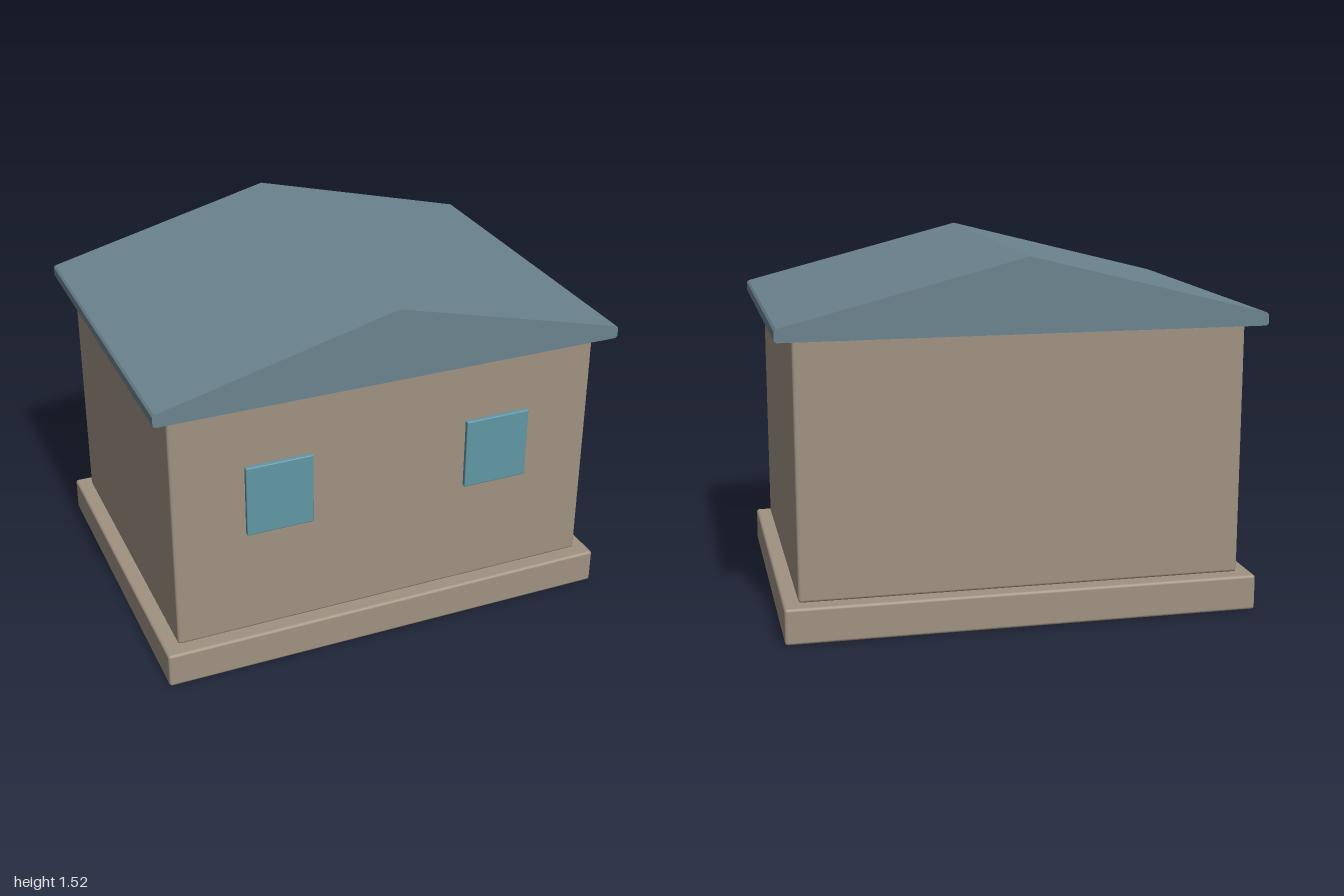
import * as THREE from 'three';
import { RoundedBoxGeometry } from 'three/addons/geometries/RoundedBoxGeometry.js';

function material(name, color) {
  const m = new THREE.MeshStandardMaterial({ color });
  m.name = name;
  return m;
}

export function createModel() {
  const house = new THREE.Group();
  house.name = 'house';
  const stone = material('warm stone', 0xa09282);
  const slate = material('slate blue', 0x6b838e);
  const glass = material('window teal', 0x6097a5);

  // Softly rounded box standing on y = bottom
  function block(name, mat, w, h, d, x, bottom, z, radius) {
    const mesh = new THREE.Mesh(new RoundedBoxGeometry(w, h, d, 2, radius), mat);
    mesh.name = name;
    mesh.position.set(x, bottom + h / 2, z);
    house.add(mesh);
  }

  // Foundation and walls
  block('foundation', stone, 1.98, 0.151, 1.495, 0, 0, 0, 0.012);
  block('walls', stone, 1.856, 1.064, 1.372, 0, 0.152, 0, 0.012);

  // Two front windows, mirrored
  for (const side of [-1, 1]) {
    const name = side > 0 ? 'leftWindow' : 'rightWindow';
    block(name, glass, 0.286, 0.31, 0.022, side * 0.484, 0.624, 0.706, 0.005);
  }

  // Gable roof with low vertical eaves and slightly eased corners
  const half = [[0.99, 1.217], [1, 1.225], [1, 1.262], [0.992, 1.271]];
  const outline = [
    ...half,
    [0, 1.523],
    ...half.map(([x, y]) => [-x, y]).reverse(),
  ].map(([x, y]) => new THREE.Vector2(x, y));
  const depth = 1.514;
  const roofGeometry = new THREE.ExtrudeGeometry(new THREE.Shape(outline), {
    depth,
    bevelEnabled: false,
  });
  roofGeometry.translate(0, 0, -depth / 2);
  const roof = new THREE.Mesh(roofGeometry, slate);
  roof.name = 'roof';
  house.add(roof);

  return house;
}
